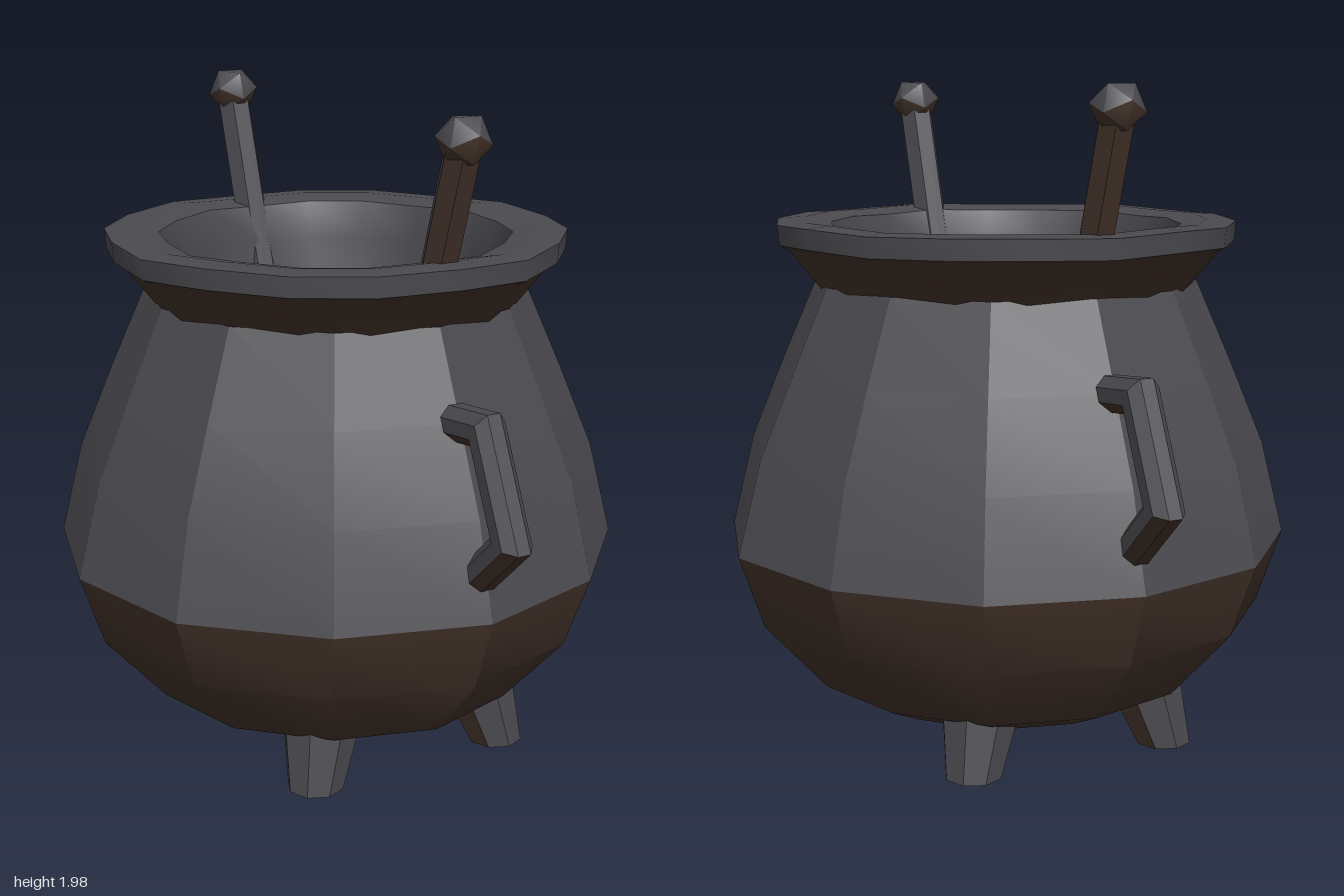
import * as THREE from 'three';
import { toCreasedNormals } from 'three/addons/utils/BufferGeometryUtils.js';

const iron = new THREE.MeshStandardMaterial({ color: 0x4b4a4f });
iron.name = 'dark iron';
const rust = new THREE.MeshStandardMaterial({ color: 0x45342b });
rust.name = 'rusty brown';

// Faces that look down become rust, all others iron
function rustBelow(geometry, crease) {
  const source = toCreasedNormals(geometry, crease);
  const pos = source.attributes.position, nor = source.attributes.normal;
  const [a, b, c] = [new THREE.Vector3(), new THREE.Vector3(), new THREE.Vector3()];
  const faces = [[], []];
  for (let i = 0; i < pos.count; i += 3) {
    a.fromBufferAttribute(pos, i);
    b.fromBufferAttribute(pos, i + 1).sub(a);
    c.fromBufferAttribute(pos, i + 2).sub(a);
    b.cross(c);
    if (b.length() < 1e-8) continue;
    faces[b.normalize().y < -0.12 ? 1 : 0].push(i, i + 1, i + 2);
  }
  const order = faces.flat();
  const pick = (attr) => new THREE.Float32BufferAttribute(
    order.flatMap((i) => [attr.getX(i), attr.getY(i), attr.getZ(i)]), 3);
  const out = new THREE.BufferGeometry();
  out.setAttribute('position', pick(pos));
  out.setAttribute('normal', pick(nor));
  out.addGroup(0, faces[0].length, 0);
  out.addGroup(faces[0].length, faces[1].length, 1);
  return out;
}

function part(name, geometry, crease = 0.5) {
  const mesh = new THREE.Mesh(rustBelow(geometry, crease), [iron, rust]);
  mesh.name = name;
  return mesh;
}

function lathe(profile, sides) {
  return new THREE.LatheGeometry(profile.map(([r, y]) => new THREE.Vector2(r, y)), sides);
}

// Uneven, hand-beaten surface
function hammer(geometry, amount, lift = 0) {
  const p = geometry.attributes.position;
  for (let i = 0; i < p.count; i++) {
    const x = p.getX(i), y = p.getY(i), z = p.getZ(i);
    const t = Math.atan2(x, z);
    const k = 1 + amount * (Math.sin(5 * t + 1) + 0.6 * Math.sin(8 * t + y * 4));
    p.setXYZ(i, x * k, y + lift * Math.sin(7 * t + 2), z * k);
  }
  return geometry;
}

// Sweep a round section along [z, y] points, mitred at the corners
function sweep(points, radius, sides) {
  const path = points.map(([z, y]) => new THREE.Vector2(z, y));
  const pos = [], index = [];
  const last = path.length - 1;
  path.forEach((p, i) => {
    const d1 = path[Math.max(i, 1)].clone().sub(path[Math.max(i, 1) - 1]).normalize();
    const j = Math.min(i, last - 1);
    const d2 = path[j + 1].clone().sub(path[j]).normalize();
    const dir = d1.clone().add(d2).normalize();
    const stretch = radius / dir.dot(d1);
    for (let s = 0; s < sides; s++) {
      const t = ((s + 0.5) / sides) * Math.PI * 2;
      const off = Math.cos(t) * stretch;
      pos.push(Math.sin(t) * radius, p.y + dir.x * off, p.x - dir.y * off);
    }
    if (i < last) {
      for (let s = 0; s < sides; s++) {
        const a = i * sides + s, b = i * sides + (s + 1) % sides;
        index.push(a, a + sides, b, b, a + sides, b + sides);
      }
    }
  });
  const g = new THREE.BufferGeometry();
  g.setAttribute('position', new THREE.Float32BufferAttribute(pos, 3));
  g.setIndex(index);
  return g;
}

export function createModel() {
  const model = new THREE.Group();
  model.name = 'cauldron';

  // Twelve-sided belly, widest where the rust begins
  model.add(part('belly', hammer(lathe([
    [0, 0.11], [0.46, 0.11], [0.6, 0.175], [0.79, 0.39], [0.865, 0.61],
    [0.795, 0.89], [0.69, 1.14], [0.58, 1.39],
  ], 12), 0.006), 0.42));

  // Flared neck and flat lip
  model.add(part('rim', hammer(lathe([
    [0.565, 1.375], [0.66, 1.495], [0.69, 1.51], [0.695, 1.57],
    [0.61, 1.575], [0.53, 1.56],
  ], 18), 0.008, 0.004)));

  // Inside wall and floor
  const inside = new THREE.Mesh(toCreasedNormals(hammer(lathe([
    [0.53, 1.56], [0.49, 1.45], [0.48, 1.15], [0.44, 1.08], [0, 1.06],
  ], 18), 0.008, 0.004), 0.6), iron);
  inside.name = 'inside';
  model.add(inside);

  // Four splayed feet
  for (const sx of [-1, 1]) {
    for (const sz of [-1, 1]) {
      const leg = new THREE.CylinderGeometry(0.13, 0.085, 0.24, 8, 1);
      const p = leg.attributes.position;
      for (let i = 0; i < p.count; i++) {
        const k = 0.5 - p.getY(i) / 0.24;
        p.setXYZ(i, p.getX(i) + sx * (0.26 + 0.06 * k), p.getY(i) + 0.12,
          p.getZ(i) + sz * (0.38 + 0.06 * k));
      }
      model.add(part('foot', leg));
    }
  }

  // Side handles and stirring sticks, front and back
  for (const side of ['front', 'back']) {
    const half = new THREE.Group();
    half.name = side + 'Fittings';
    half.add(part('handle', sweep([[0.58, 1.13], [0.82, 1.155], [0.95, 0.87], [0.76, 0.69]], 0.054, 8)));
    half.add(part('stick', sweep([[0.405, 1.05], [0.68, 1.9]], 0.054, 6)));
    const knob = new THREE.IcosahedronGeometry(0.079, 0);
    knob.rotateX(0.3);
    knob.translate(0, 1.915, 0.68);
    half.add(part('stickKnob', knob, 0.8));
    if (side === 'back') half.rotation.y = Math.PI;
    model.add(half);
  }
  return model;
}
